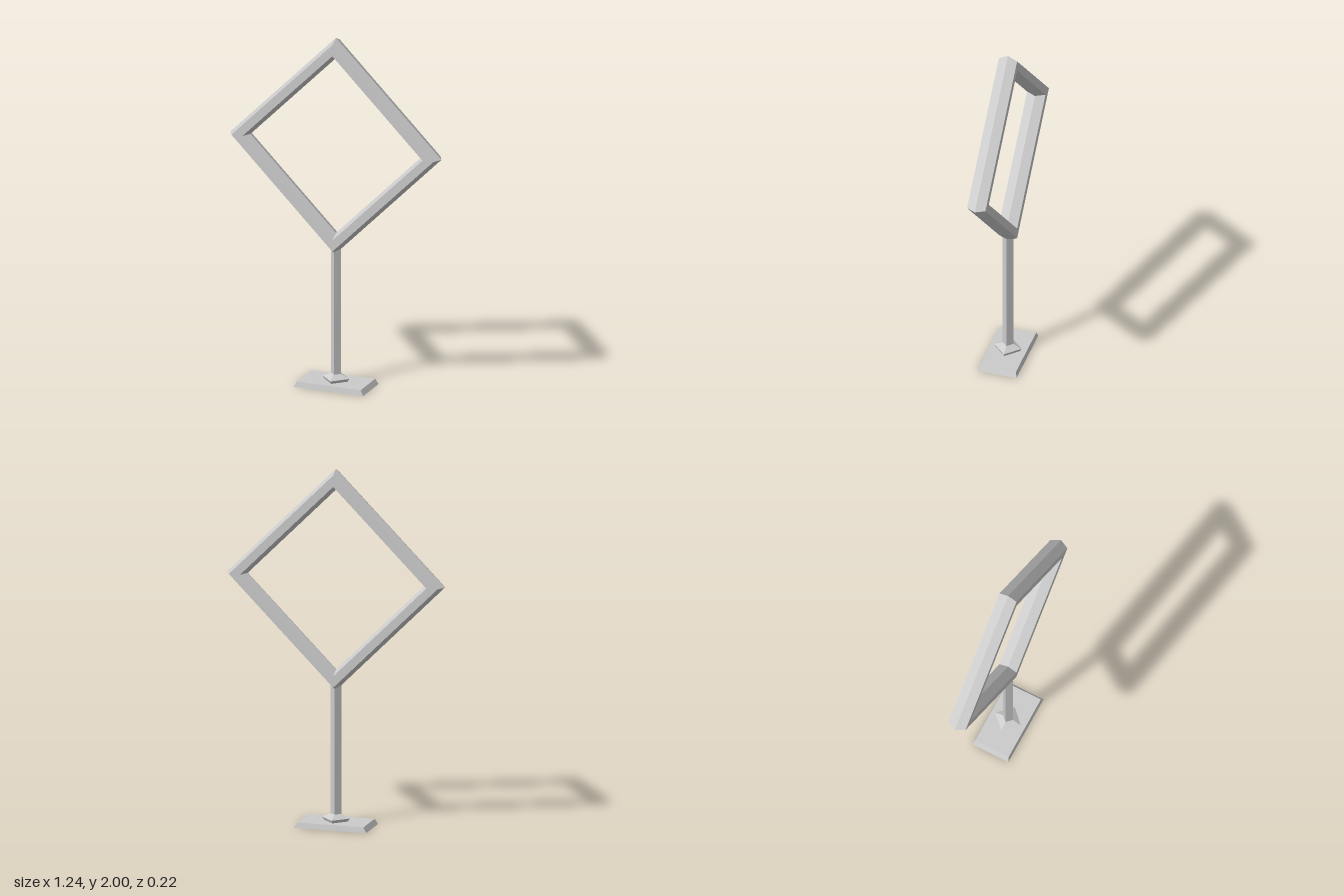
import * as THREE from 'three';

const material = new THREE.MeshStandardMaterial({
  color: 0xcccccc, flatShading: true, side: THREE.DoubleSide,
});

// Four-sided turned part, corners on the axes; profile is [radius, height] going up the outside
function diamond(name, profile) {
  const points = profile.map(([r, y]) => new THREE.Vector2(r, y));
  const mesh = new THREE.Mesh(new THREE.LatheGeometry(points, 4), material);
  mesh.name = name;
  return mesh;
}

// Rectangular foot plate with sloped sides, hollow underneath
function footPlate() {
  const height = 0.03;
  const geometry = new THREE.BoxGeometry(0.41, height, 0.22).translate(0, height / 2, 0);
  const position = geometry.attributes.position;
  for (let i = 0; i < position.count; i++) {
    if (position.getY(i) < height / 2) continue;
    position.setX(i, Math.sign(position.getX(i)) * 0.188);
    position.setZ(i, Math.sign(position.getZ(i)) * 0.103);
  }
  // Leave out the bottom face
  const index = Array.from(geometry.index.array);
  index.splice(18, 6);
  geometry.setIndex(index);
  geometry.clearGroups();
  geometry.computeVertexNormals();
  const mesh = new THREE.Mesh(geometry, material);
  mesh.name = 'footPlate';
  return mesh;
}

export function createModel() {
  const model = new THREE.Group();
  model.name = 'diamondFrameStand';

  // Base and pole
  model.add(footPlate());
  model.add(diamond('collar', [[0.068, 0.03], [0.078, 0.047], [0.03, 0.07]]));
  model.add(diamond('pole', [[0.03, 0.03], [0.03, 0.82]]));

  // Diamond ring with a six-sided section, stood upright
  const frame = diamond('frame', [
    [0.594, -0.052], [0.62, 0], [0.594, 0.052],
    [0.53, 0.052], [0.503, 0], [0.53, -0.052], [0.594, -0.052],
  ]);
  frame.geometry.rotateX(Math.PI / 2);
  frame.position.y = 1.38;
  model.add(frame);

  return model;
}
